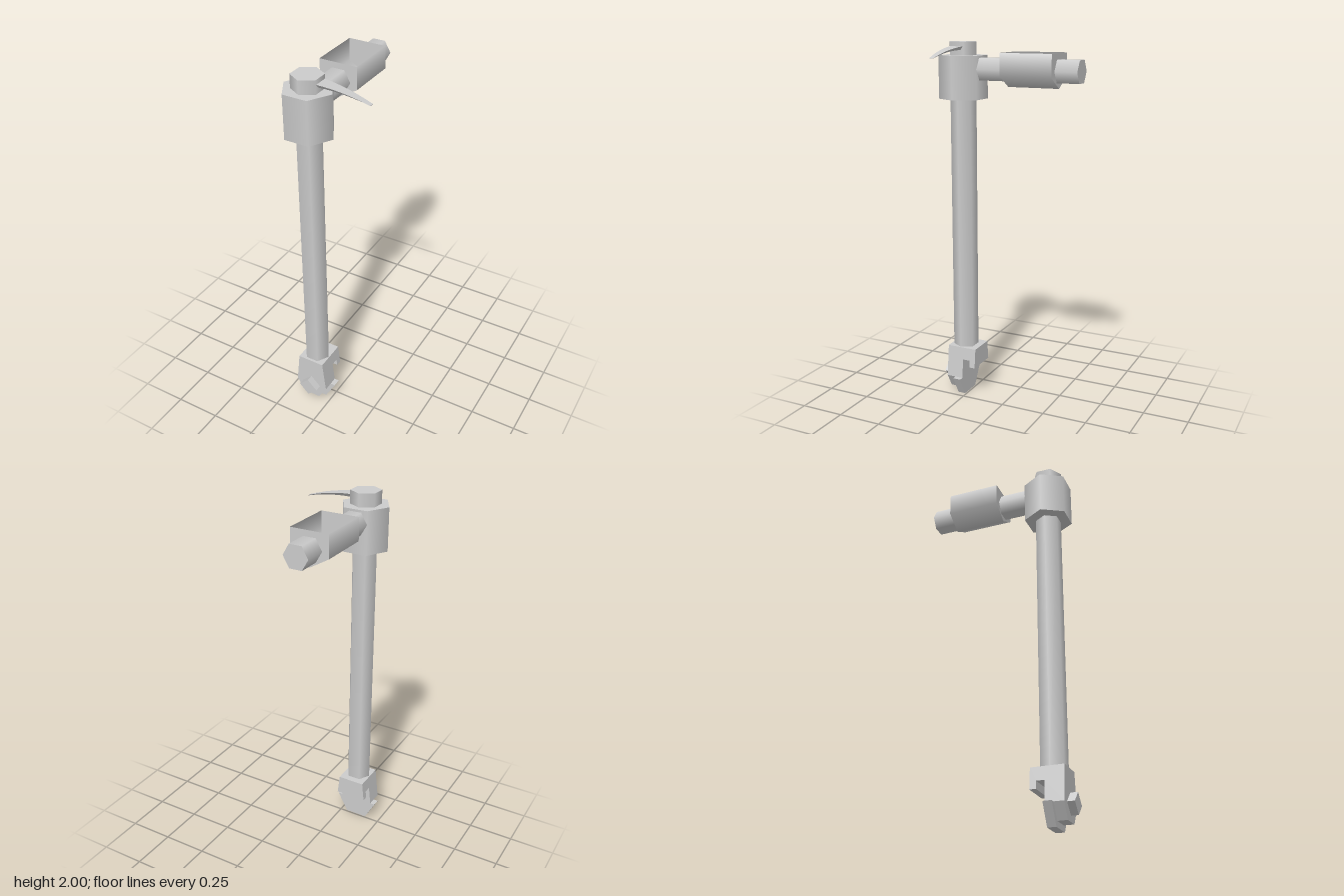
import * as THREE from 'three';

const CX = -0.1, CZ = 0.28;   // axis of the upright pole

export function createModel() {
  const group = new THREE.Group();
  const grey = new THREE.MeshStandardMaterial({ color: 0xcccccc });
  const flat = new THREE.MeshStandardMaterial({ color: 0xcccccc, flatShading: true });
  const open = new THREE.MeshStandardMaterial({ color: 0xcccccc, side: THREE.DoubleSide });

  const add = (name, geometry, material, x, y, z) => {
    const mesh = new THREE.Mesh(geometry, material);
    mesh.name = name;
    mesh.position.set(x, y, z);
    group.add(mesh);
    return mesh;
  };
  const polygon = (points) => new THREE.Shape(points.map(([x, y]) => new THREE.Vector2(x, y)));
  const extrude = (points, depth) =>
    new THREE.ExtrudeGeometry(polygon(points), { depth, bevelEnabled: false });

  // Upright hexagonal bars; turn = true puts corners on the x axis
  const upright = (name, radius, y0, y1, turn) => {
    const g = new THREE.CylinderGeometry(radius, radius, y1 - y0, 6);
    if (turn) g.rotateY(Math.PI / 2);
    add(name, g, grey, CX, (y0 + y1) / 2, CZ);
  };
  upright('pole', 0.07, 0.29, 1.7, true);
  upright('head', 0.131, 1.7, 1.93, true);
  upright('headCap', 0.08, 1.93, 2.0, false);

  // Hexagonal arm in two lengths, on either side of the trough
  const arm = (name, z0, z1) => {
    const g = new THREE.CylinderGeometry(0.067, 0.067, z1 - z0, 6);
    g.rotateY(Math.PI / 2).rotateX(Math.PI / 2);
    add(name, g, grey, CX, 1.86, (z0 + z1) / 2);
  };
  arm('innerArm', 0.013, 0.17);
  arm('outerArm', -0.395, -0.273);

  // Trough: hexagonal tube with its two upper faces left open
  const R = 0.119, zFront = 0.013, zBack = -0.273, troughY = 1.89;
  const third = Math.PI * 2 / 3;
  const tube = new THREE.CylinderGeometry(R, R, zFront - zBack, 4, 1, true, -third, third * 2);
  tube.rotateX(Math.PI / 2);
  add('trough', tube, open, CX, troughY, (zFront + zBack) / 2);
  const section = [-2, -1, 0, 1, 2].map((i) => [
    R * Math.sin(i * Math.PI / 3), -R * Math.cos(i * Math.PI / 3)]);
  for (const z of [zFront, zBack]) {
    add('troughEnd', new THREE.ShapeGeometry(polygon(section)), open, CX, troughY, z);
  }

  // Lever: thin bar that narrows and curves down towards its tip
  const lever = new THREE.BoxGeometry(1, 1, 1, 6, 1, 1);
  const p = lever.attributes.position;
  for (let i = 0; i < p.count; i++) {
    const t = p.getX(i) + 0.5;
    const halfWidth = 0.037 - 0.025 * t;
    const thickness = 0.016 * (1 - t) + 0.003;
    const bottomScale = p.getY(i) < 0 ? 0.6 : 1;
    p.setXYZ(i,
      -0.035 + 0.265 * t,
      1.977 - 0.012 * t - 0.037 * t * t + (p.getY(i) - 0.5) * thickness,
      p.getZ(i) * 2 * halfWidth * bottomScale);
  }
  add('lever', lever, flat, 0, 0, CZ);

  // Clamp body: hooked side profile, widening downwards
  const body = extrude([
    [0.355, 0.11], [0.355, 0.29], [0.182, 0.29], [0.182, 0.18], [0.215, 0.18],
    [0.215, 0.22], [0.258, 0.22], [0.258, 0.11],
  ], 1);
  body.translate(0, 0, -0.5).rotateY(-Math.PI / 2);
  const b = body.attributes.position;
  for (let i = 0; i < b.count; i++) {
    const halfWidth = 0.095 - (b.getY(i) - 0.11) * 0.11;
    b.setX(i, Math.sign(b.getX(i)) * halfWidth);
    b.setZ(i, Math.abs(b.getZ(i)));
  }
  add('clampBody', body, flat, CX, 0, 0);

  // Lower jaw: narrow front plate and wider plate behind it
  add('frontJaw', extrude([[-0.048, 0.03], [0.048, 0.03], [0.095, 0.11], [-0.095, 0.11]], 0.055),
    flat, CX, 0, 0.3);
  add('backJaw', extrude([[-0.062, 0], [0.062, 0], [0.122, 0.11], [-0.122, 0.11]], 0.045),
    flat, CX, 0, 0.258);

  // Four-sided bolt on the clamp front
  const bolt = new THREE.CylinderGeometry(0.055, 0.055, 0.04, 4);
  bolt.rotateX(Math.PI / 2);
  add('clampBolt', bolt, flat, CX, 0.115, 0.373);

  return group;
}
